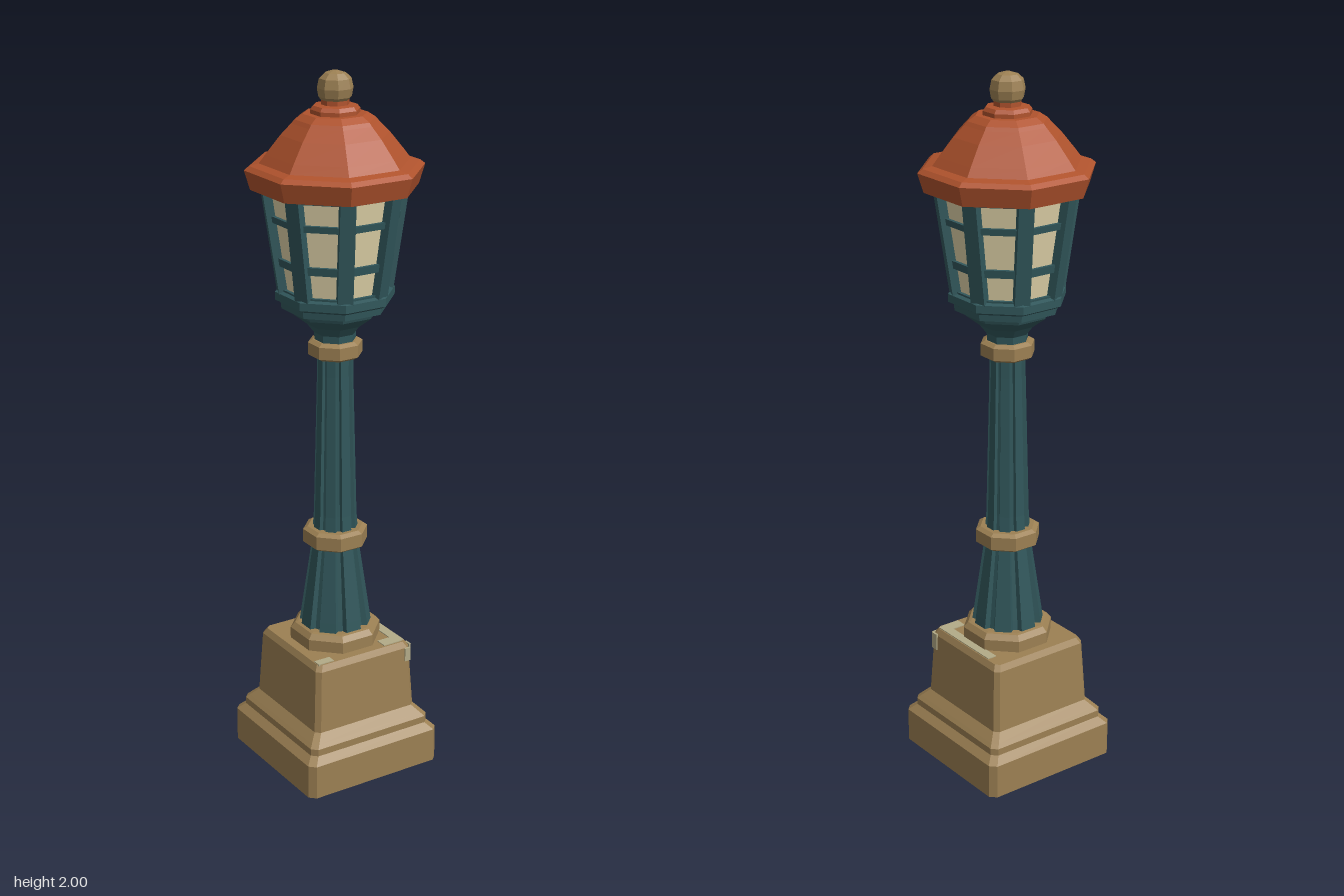
import * as THREE from 'three';

const mat = (name, color) => {
  const m = new THREE.MeshStandardMaterial({ color });
  m.name = name;
  return m;
};

// Unit outlines as [x, z], counter-clockwise from above; 1 = distance to the flat side
function octagon() {
  const r = 1 / Math.cos(Math.PI / 8);
  return Array.from({ length: 8 }, (_, i) => {
    const a = Math.PI / 8 + (i * Math.PI) / 4;
    return [r * Math.sin(a), r * Math.cos(a)];
  });
}
function chamferedSquare(c) {
  const pts = [];
  for (let i = 0; i < 4; i++) {
    const a = (i * Math.PI) / 2, s = Math.sin(a), k = Math.cos(a);
    for (const [x, z] of [[1 - c, 1], [1, 1 - c]]) pts.push([x * k + z * s, -x * s + z * k]);
  }
  return pts;
}
function fluted(count, depth) {
  const pts = [];
  for (let i = 0; i < count; i++) {
    for (const [t, r] of [[-0.3, 1], [0.3, 1], [0.4, depth], [0.6, depth]]) {
      const a = ((i + t) * 2 * Math.PI) / count;
      pts.push([r * Math.sin(a), r * Math.cos(a)]);
    }
  }
  return pts;
}

// Closed, faceted solid: an outline scaled along a profile of [size, y]
function loft(outline, profile) {
  const pos = [], n = outline.length;
  const at = (i, [s, y]) => [outline[i % n][0] * s, y, outline[i % n][1] * s];
  const bottom = profile[0], top = profile[profile.length - 1];
  for (let i = 0; i < n; i++) {
    for (let j = 0; j < profile.length - 1; j++) {
      const a = at(i, profile[j]), b = at(i + 1, profile[j]);
      const c = at(i + 1, profile[j + 1]), d = at(i, profile[j + 1]);
      pos.push(...a, ...b, ...c, ...a, ...c, ...d);
    }
    pos.push(0, top[1], 0, ...at(i, top), ...at(i + 1, top));
    pos.push(0, bottom[1], 0, ...at(i + 1, bottom), ...at(i, bottom));
  }
  const g = new THREE.BufferGeometry();
  g.setAttribute('position', new THREE.Float32BufferAttribute(pos, 3));
  g.computeVertexNormals();
  return g;
}

export function createModel() {
  const stone = mat('tan stone', 0x9c8053);
  const worn = mat('pale worn stone', 0xb3ab88);
  const iron = mat('teal iron', 0x31575b);
  const tile = mat('rust red', 0xb0532d);
  const glass = mat('cream glass', 0xdfd2a8);

  const model = new THREE.Group();
  model.name = 'streetLamp';
  const add = (name, geometry, material, parent = model) => {
    const m = new THREE.Mesh(geometry, material);
    m.name = name;
    parent.add(m);
    return m;
  };
  const oct = octagon();

  // Stepped square pedestal
  add('pedestal', loft(chamferedSquare(0.08), [
    [0.217, 0], [0.217, 0.1], [0.197, 0.12], [0.197, 0.14], [0.188, 0.15],
    [0.167, 0.172], [0.157, 0.355], [0.147, 0.372],
  ]), stone);
  add('pedestalCollar', loft(oct, [[0.12, 0.37], [0.12, 0.405], [0.108, 0.42], [0.1, 0.422]]), stone);

  // Worn patches along the pedestal's upper edges
  const patch = (x, y, z, w, h, d) => {
    const p = add('wornPatch', new THREE.BoxGeometry(w, h, d), worn);
    p.position.set(x, y, z);
  };
  patch(0.13, 0.372, 0.02, 0.028, 0.005, 0.24);
  patch(0.105, 0.372, 0.125, 0.06, 0.005, 0.035);
  patch(-0.12, 0.372, 0.13, 0.05, 0.005, 0.025);
  patch(0.144, 0.335, 0.159, 0.018, 0.04, 0.006);
  patch(0.159, 0.335, 0.139, 0.006, 0.05, 0.022);

  // Fluted column with stone bands
  const flutes = fluted(8, 0.86);
  add('lowerColumn', loft(flutes, [[0.102, 0.42], [0.098, 0.45], [0.066, 0.67]]), iron);
  add('upperColumn', loft(flutes, [[0.064, 0.7], [0.06, 0.76], [0.05, 1.17], [0.05, 1.23]]), iron);
  const band = (name, y, r, h) => add(name, loft(oct, [
    [r - 0.012, y - h / 2], [r, y - h / 2 + 0.008], [r, y + h / 2 - 0.008], [r - 0.012, y + h / 2],
  ]), stone);
  band('lowerBand', 0.69, 0.085, 0.054);
  band('upperBand', 1.245, 0.07, 0.05);

  // Flared neck and tray under the lantern
  add('neck', loft(oct, [
    [0.052, 1.25], [0.054, 1.29], [0.072, 1.315], [0.108, 1.345], [0.113, 1.36],
    [0.136, 1.362], [0.138, 1.38], [0.152, 1.388], [0.152, 1.41], [0.14, 1.415],
  ]), iron);

  // Lantern: glass body held by corner posts and rails
  const lantern = new THREE.Group();
  lantern.name = 'lantern';
  model.add(lantern);
  const y0 = 1.4, y1 = 1.7;
  const frameAt = (y) => 0.143 + ((y - y0) / (y1 - y0)) * 0.041;
  add('glass', loft(oct, [[frameAt(y0) - 0.014, y0], [frameAt(y1) - 0.014, y1]]), glass, lantern);
  for (const [y, h] of [[1.413, 0.014], [1.497, 0.022], [1.615, 0.018], [1.69, 0.016]]) {
    add('rail', loft(oct, [[frameAt(y - h / 2) - 0.004, y - h / 2], [frameAt(y + h / 2) - 0.004, y + h / 2]]), iron, lantern);
  }
  const k = 1 / Math.cos(Math.PI / 8);
  const lean = Math.atan2((frameAt(y1) - frameAt(y0)) * k, y1 - y0);
  for (let i = 0; i < 8; i++) {
    const pivot = new THREE.Group();
    pivot.name = 'cornerPost';
    pivot.rotation.y = Math.PI / 8 + (i * Math.PI) / 4;
    const post = add('post', new THREE.BoxGeometry(0.042, 0.3, 0.034), iron, pivot);
    post.position.set(0, (y0 + y1) / 2, frameAt((y0 + y1) / 2) * k - 0.017);
    post.rotation.x = lean;
    lantern.add(pivot);
  }

  // Octagonal roof with overhanging eave and stepped cap
  add('roof', loft(oct, [
    [0.18, 1.7], [0.21, 1.692], [0.225, 1.745], [0.212, 1.756], [0.188, 1.762], [0.172, 1.785],
    [0.135, 1.835], [0.108, 1.865], [0.1, 1.875], [0.08, 1.889],
  ]), tile);
  add('roofCap', loft(oct, [[0.062, 1.88], [0.062, 1.9], [0.055, 1.91], [0.035, 1.912], [0.035, 1.93]]), tile);

  // Ball finial
  add('finial', loft(oct, [
    [0.028, 1.915], [0.041, 1.932], [0.045, 1.955], [0.04, 1.98], [0.026, 1.994], [0.008, 2],
  ]), stone);

  return model;
}
